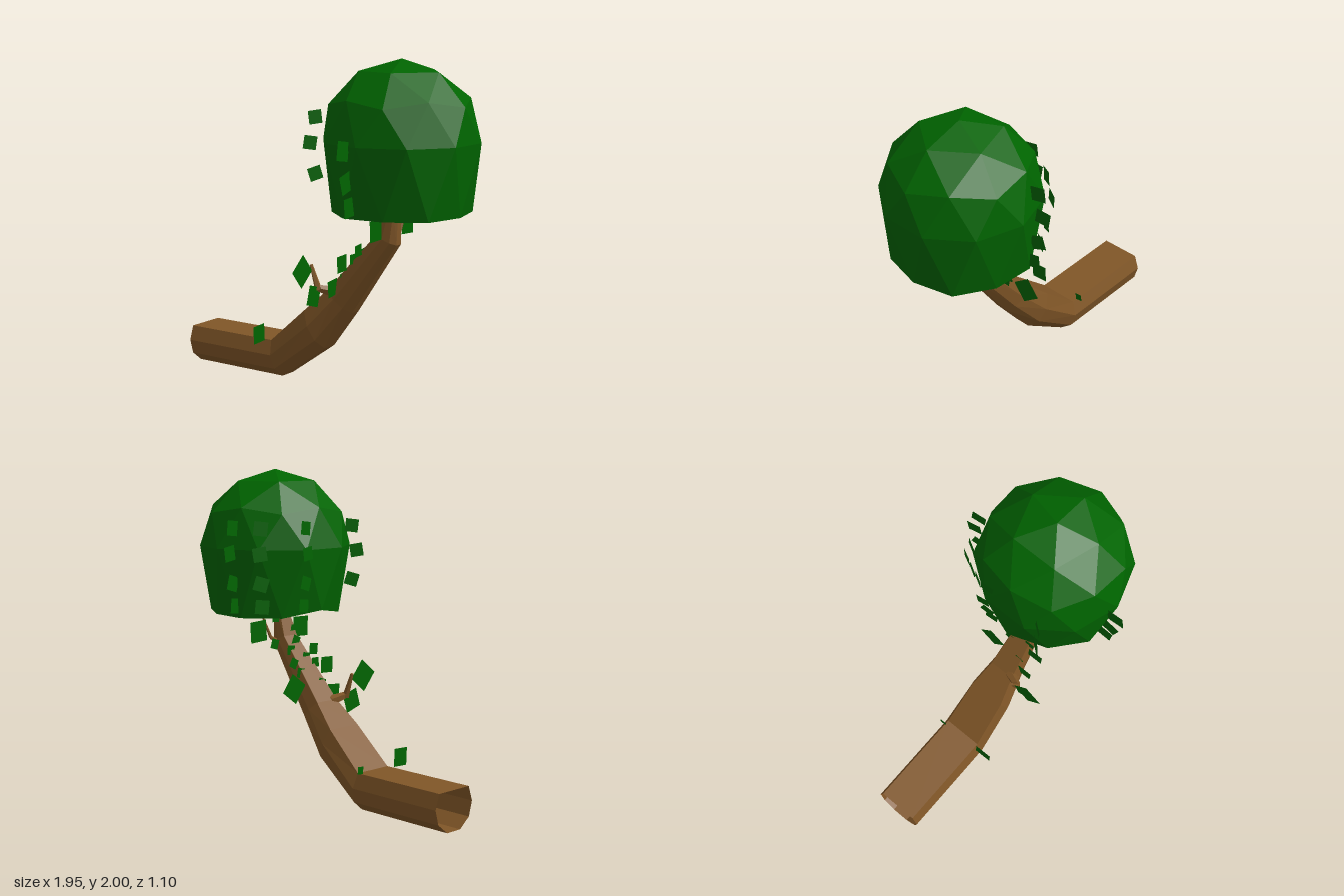
import * as THREE from 'three';

const bark = new THREE.MeshStandardMaterial({ color: 0x805627, flatShading: true, side: THREE.DoubleSide });
bark.name = 'bark';
const foliage = new THREE.MeshStandardMaterial({ color: 0x006400, flatShading: true, side: THREE.DoubleSide });
foliage.name = 'foliage';

function add(group, geometry, material, name) {
  const mesh = new THREE.Mesh(geometry, material);
  mesh.name = name;
  group.add(mesh);
  return mesh;
}

function fromTriangles(points) {
  const g = new THREE.BufferGeometry().setFromPoints(points);
  g.computeVertexNormals();
  return g;
}

// Open eight-sided trunk; each section: bottom x, y, top x, y, width factor
function trunkGeometry() {
  const sections = [
    [-0.975, 0, -0.975, 0.24, 1],
    [-0.3, 0, -0.335, 0.24, 1],
    [0.02, 0.225, -0.09, 0.46, 0.92],
    [0.21, 0.47, 0.06, 0.6, 0.65],
    [0.515, 0.915, 0.39, 0.97, 0.42],
    [0.52, 1.12, 0.445, 1.12, 0.3],
    [0.525, 1.3, 0.475, 1.3, 0.2],
  ];
  // Outline of a section: height fraction and half width
  const half = [[0, 0.055], [0.25, 0.13], [0.625, 0.155], [1, 0.125]];
  const outline = [...half, ...half.map(([v, w]) => [v, -w]).reverse()];
  const rings = sections.map(([bx, by, tx, ty, s]) => outline.map(([v, w]) =>
    new THREE.Vector3(bx + (tx - bx) * v, by + (ty - by) * v, 0.008 + w * s)));
  const tri = [];
  for (let i = 0; i < rings.length - 1; i++) {
    for (let j = 0; j < 8; j++) {
      const k = (j + 1) % 8;
      const a = rings[i][j], b = rings[i + 1][j], c = rings[i + 1][k], d = rings[i][k];
      tri.push(a, b, c, a, c, d);
    }
  }
  return fromTriangles(tri);
}

// Height of a crown point: round above, flat rim and shallow hollow below
function crownHeight(p) {
  if (p.y < -0.95) return 1.28;
  if (p.y < -0.7) return 1.19;
  if (p.y < -0.3) return p.x < -0.88 ? 1.155 : 1.115;
  return 1.53 + p.y * 0.47;
}

// Subdivided icosahedron with a reshaped lower part
function crownGeometry() {
  const ring = (k, y, offset) => {
    const a = (k * 72 + offset) * Math.PI / 180, r = 2 / Math.sqrt(5);
    return new THREE.Vector3(r * Math.cos(a), y, r * Math.sin(a));
  };
  const top = new THREE.Vector3(0, 1, 0), bottom = new THREE.Vector3(0, -1, 0);
  const upper = (k) => ring(k, 1 / Math.sqrt(5), 0);
  const lower = (k) => ring(k, -1 / Math.sqrt(5), 36);
  const mid = (a, b) => a.clone().add(b).normalize();
  const tri = [];
  const split = (a, b, c) => {
    const ab = mid(a, b), bc = mid(b, c), ca = mid(c, a);
    tri.push(a, ab, ca, ab, b, bc, ca, bc, c, ab, bc, ca);
  };
  for (let k = 0; k < 5; k++) {
    split(top, upper(k + 1), upper(k));
    split(upper(k + 1), lower(k), upper(k));
    split(upper(k + 1), lower(k + 1), lower(k));
    split(bottom, lower(k), lower(k + 1));
  }
  return fromTriangles(tri.map((p) => new THREE.Vector3(
    0.525 + p.x * 0.47, crownHeight(p), 0.008 + p.z * 0.47)));
}

// Tapered twig between two points
function twig(group, from, to, r0, r1) {
  const a = new THREE.Vector3(...from), b = new THREE.Vector3(...to);
  const dir = b.clone().sub(a);
  const mesh = add(group, new THREE.CylinderGeometry(r1, r0, dir.length(), 5), bark, 'twig');
  mesh.position.copy(a).add(b).multiplyScalar(0.5);
  mesh.quaternion.setFromUnitVectors(new THREE.Vector3(0, 1, 0), dir.normalize());
}

// Square leaf facing sideways, with a little roll and yaw
function leaf(group, x, y, z, size, roll, yaw) {
  const mesh = add(group, new THREE.PlaneGeometry(size, size), foliage, 'leaf');
  mesh.position.set(x, y, z);
  mesh.rotation.set(0, Math.PI / 2 + yaw, roll, 'YXZ');
}

export function createModel() {
  const tree = new THREE.Group();
  tree.name = 'tree';
  add(tree, trunkGeometry(), bark, 'trunk');
  add(tree, crownGeometry(), foliage, 'crown');

  // Two bent side branches
  const branches = new THREE.Group();
  branches.name = 'branches';
  tree.add(branches);
  twig(branches, [0.08, 0.59, 0.06], [0.04, 0.62, 0.15], 0.035, 0.022);
  twig(branches, [0.04, 0.61, 0.15], [-0.015, 0.76, 0.15], 0.022, 0.01);
  twig(branches, [0.45, 0.92, -0.03], [0.45, 0.96, -0.1], 0.016, 0.011);
  twig(branches, [0.45, 0.96, -0.1], [0.46, 1.1, -0.16], 0.011, 0.006);

  // Leaves along the trunk: x, y, z, size, roll
  const trunkLeaves = new THREE.Group();
  trunkLeaves.name = 'trunkLeaves';
  tree.add(trunkLeaves);
  [
    [-0.37, 0.29, 0.21, 0.11, 0.05], [-0.37, 0.265, -0.13, 0.045, 0.1],
    [0.04, 0.58, 0.2, 0.12, -0.3], [0, 0.735, 0.26, 0.145, 0.7],
    [0.17, 0.68, -0.16, 0.135, 0.65], [0.13, 0.63, 0.13, 0.1, 0.1],
    [0.21, 0.79, 0.15, 0.1, 0.05], [0.25, 0.82, -0.09, 0.06, 0.5],
    [0.32, 0.88, 0.14, 0.07, 0.1], [0.38, 0.93, -0.13, 0.06, 0.3],
    [0.44, 1.01, 0.14, 0.125, 0.03], [0.44, 1.01, -0.21, 0.13, -0.06],
    [0.44, 1.09, -0.06, 0.07, 0.05], [0.16, 0.69, 0.06, 0.06, 0.3],
    [0.28, 0.84, 0.04, 0.06, 0.2], [0.35, 0.94, 0.02, 0.06, 0.4],
    [0.22, 0.76, -0.06, 0.06, 0.2], [0.32, 0.89, -0.05, 0.06, 0.1],
    [0.24, 0.81, 0.08, 0.06, 0], [0.4, 1.0, 0.05, 0.06, 0.2],
  ].forEach(([x, y, z, s, roll]) => leaf(trunkLeaves, x, y, z, s, roll, 0.02));

  // Columns of leaves round one side of the crown: angle, size, yaw, lowest row, outward shift
  const crownLeaves = new THREE.Group();
  crownLeaves.name = 'crownLeaves';
  tree.add(crownLeaves);
  [
    [97, 0.11, 0, 0, 0], [152, 0.08, -0.65, 1, 0.025], [198, 0.08, 0.1, 0, -0.02],
    [232, 0.085, -0.5, 0, 0], [254, 0.09, 0.15, 0, 0],
  ].forEach(([degrees, size, yaw, lowest, shift], c) => {
    const a = degrees * Math.PI / 180;
    [1.19, 1.33, 1.51, 1.66].forEach((y, i) => {
      if (i < lowest || (c === 0 && i === 3)) return;
      const r = [0.445, 0.475, 0.505, 0.475][i] + shift;
      leaf(crownLeaves, 0.525 + r * Math.cos(a), y, 0.008 + r * Math.sin(a), size,
        [0.1, 0.3, -0.15, 0.12][i], yaw);
    });
  });
  return tree;
}
